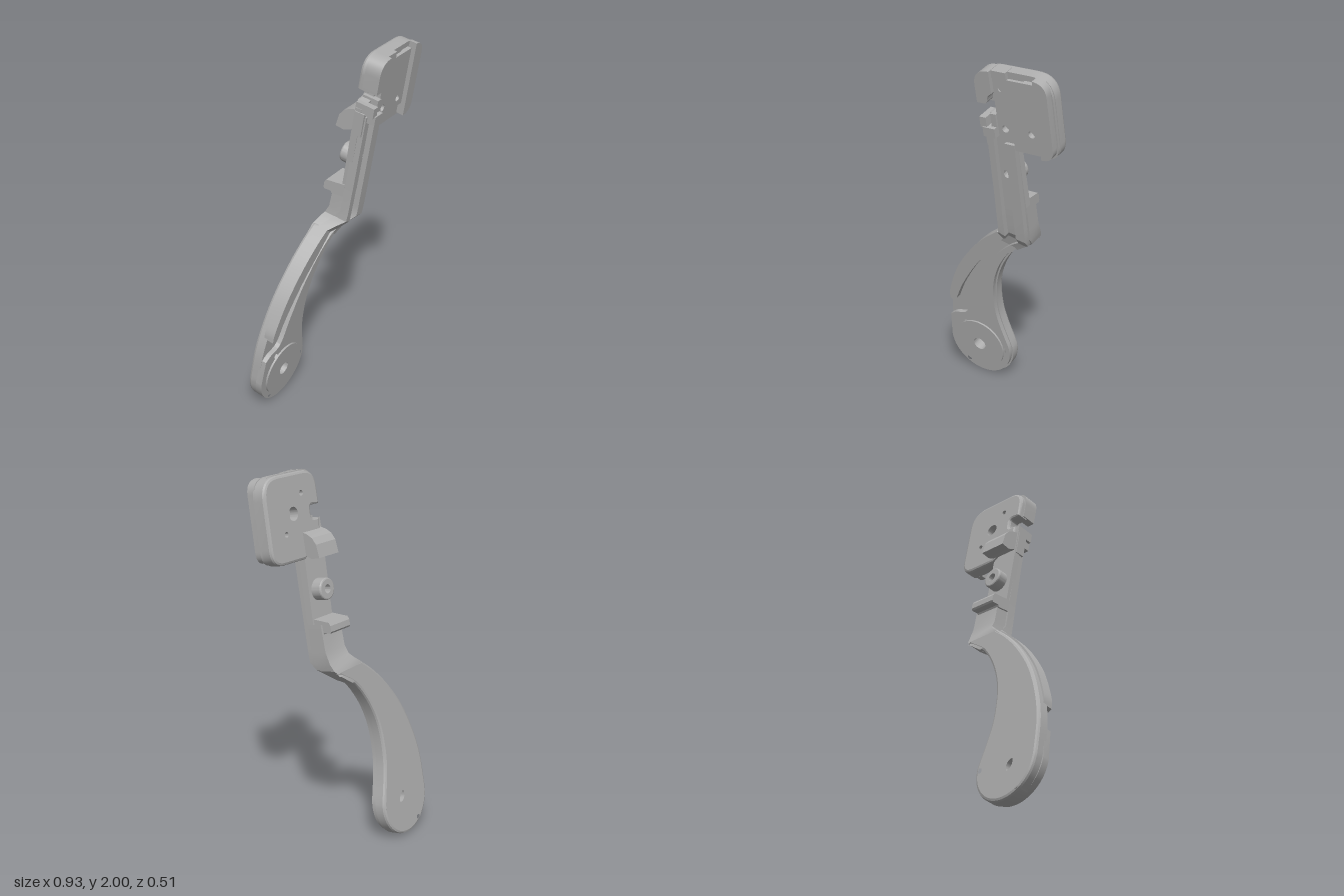
import * as THREE from 'three';
import { toCreasedNormals } from 'three/addons/utils/BufferGeometryUtils.js';

const steel = new THREE.MeshStandardMaterial({ color: 0xaeaeae });
steel.name = 'grey metal';

// The bracket is tilted: outlines are laid out upright, then projected on its plane
const toPlane = (x, y, d) => {
  const q = (y + 0.175 * d) / 0.984;
  return new THREE.Vector2((x - 0.03 * q - 0.18 * d) / 0.983, q);
};

const spline = (pts, n = 28) =>
  new THREE.SplineCurve(pts.map(p => new THREE.Vector2(...p))).getPoints(n).map(p => [p.x, p.y]);

const arc = (cx, cy, r, a0, a1, n = 40) =>
  Array.from({ length: n + 1 }, (_, i) => {
    const a = a0 + (a1 - a0) * i / n;
    return [cx + r * Math.cos(a), cy + r * Math.sin(a)];
  });
const circle = (cx, cy, r) => arc(cx, cy, r, 0, Math.PI * 2, 48).slice(0, -1);
const rect = (x0, y0, x1, y1) => [[x0, y0], [x1, y0], [x1, y1], [x0, y1]];

// Polygon whose corners [x, y, r] are rounded by r
function rounded(pts) {
  const out = [];
  pts.forEach(([x, y, r = 0], i) => {
    if (!r) return out.push([x, y]);
    const c = new THREE.Vector2(x, y);
    const toward = p => new THREE.Vector2(p[0], p[1]).sub(c).setLength(r).add(c);
    const a = toward(pts[(i + pts.length - 1) % pts.length]), b = toward(pts[(i + 1) % pts.length]);
    new THREE.QuadraticBezierCurve(a, c, b).getPoints(10).forEach(p => out.push([p.x, p.y]));
  });
  return out;
}

// Rounds the back edge of an extrusion (3 steps) by pulling its outline inwards
function roundBack(geo, outline, depth, r) {
  const levels = [0, 0.3 * r, r, depth], insets = [r, 0.3 * r, 0, 0];
  const turn = Math.sign(THREE.ShapeUtils.area(outline)), n = outline.length;
  const pos = geo.attributes.position;
  for (let i = 0; i < pos.count; i++) {
    const v = new THREE.Vector2(pos.getX(i), pos.getY(i));
    const step = Math.round(pos.getZ(i) / depth * 3);
    const k = outline.findIndex(p => p.distanceTo(v) < 1e-5);
    if (k >= 0) {
      const along = outline[(k + 1) % n].clone().sub(outline[(k + n - 1) % n]).normalize();
      v.add(new THREE.Vector2(-along.y, along.x).multiplyScalar(turn * insets[step]));
    }
    pos.setXYZ(i, v.x, v.y, levels[step]);
  }
}

function createModel() {
  const model = new THREE.Group();
  model.name = 'leverBracket';
  const body = new THREE.Group();
  body.name = 'tiltedBody';
  model.add(body);

  const add = (name, geo) => {
    const mesh = new THREE.Mesh(toCreasedNormals(geo, 0.36), steel);
    mesh.name = name;
    body.add(mesh);
  };

  // Slab between depths d0 and d1, with round holes [x, y, r] and a rounded back edge
  function slab(name, pts, d0, d1, { holes = [], round = 0 } = {}) {
    const mid = (d0 + d1) / 2, depth = d1 - d0;
    const outline = pts.map(([x, y]) => toPlane(x, y, mid));
    const shape = new THREE.Shape(outline);
    for (const [x, y, r] of holes) {
      const c = toPlane(x, y, mid);
      shape.holes.push(new THREE.Path().absarc(c.x, c.y, r, 0, Math.PI * 2, true));
    }
    const geo = new THREE.ExtrudeGeometry(shape, { depth, steps: round ? 3 : 1, curveSegments: 20, bevelEnabled: false });
    if (round) roundBack(geo, outline, depth, round);
    add(name, geo.translate(0, 0, d0));
  }

  // Side profile of [depth, height] points, swept across the arm's width
  function sideProfile(name, pts) {
    const shape = new THREE.Shape(pts.map(([d, y]) => new THREE.Vector2(d, (y + 0.175 * d) / 0.984)));
    const geo = new THREE.ExtrudeGeometry(shape, { depth: 0.156, bevelEnabled: false });
    add(name, geo.rotateY(-Math.PI / 2).translate(0.198, 0, 0));
  }

  // Four-sided tube through sections [left x, y, right x, y, front, back], top to bottom
  function loft(name, sections) {
    const rings = sections.map(([xl, yl, xr, yr, front, back]) => {
      const l = toPlane(xl, yl, (front + back) / 2), r = toPlane(xr, yr, (front + back) / 2);
      return [[l.x, l.y, back], [r.x, r.y, back], [r.x, r.y, front], [l.x, l.y, front]];
    });
    const verts = [];
    for (let i = 0; i + 1 < rings.length; i++) {
      for (let k = 0; k < 4; k++) {
        const j = (k + 1) % 4;
        const [a, b, c, d] = [rings[i][k], rings[i][j], rings[i + 1][j], rings[i + 1][k]];
        verts.push(...a, ...b, ...c, ...a, ...c, ...d);
      }
    }
    const geo = new THREE.BufferGeometry();
    geo.setAttribute('position', new THREE.Float32BufferAttribute(verts, 3));
    add(name, geo);
  }

  // Curved lower arm with round pivot end
  const pivot = [-0.265, 0.195];
  const outer = spline([[-0.457, 0.2], [-0.445, 0.386], [-0.402, 0.545], [-0.328, 0.704], [-0.224, 0.845],
    [-0.12, 0.948], [-0.03, 1.015]]);
  const inner = spline([[0.16, 0.99], [0.13, 0.968], [0.035, 0.907], [-0.042, 0.81],
    [-0.095, 0.704], [-0.122, 0.598], [-0.128, 0.466], [-0.112, 0.36], [-0.085, 0.255]]);
  const end = arc(pivot[0], pivot[1], 0.19, 0.2, -Math.PI);
  const channelSide = spline([[-0.44, 0.345], [-0.4, 0.37], [-0.32, 0.4], [-0.257, 0.545], [-0.177, 0.704],
    [-0.071, 0.847], [0.035, 0.942], [0.11, 0.985]]);
  const screwHoles = [[-0.35, 0.335, 0.014], [-0.1, 0.195, 0.014], [-0.36, 0.055, 0.014]];

  slab('lowerArmBase', [...outer, ...inner, ...end.slice(1, -1)], -0.29, -0.228,
    { holes: [[...pivot, 0.052], ...screwHoles], round: 0.014 });
  slab('lowerArmFace', [...channelSide, ...inner, ...end], -0.24, -0.202,
    { holes: [[...pivot, 0.1], ...screwHoles] });
  slab('pivotDisc', circle(...pivot, 0.152), -0.25, -0.192, { holes: [[...pivot, 0.038]] });

  // Raised guide rail along the outer curve
  const railInner = spline([[-0.375, 0.475], [-0.31, 0.6], [-0.2, 0.757], [-0.07, 0.9], [0.005, 0.985]]);
  const railOuter = spline([[-0.415, 0.475], [-0.402, 0.545], [-0.328, 0.704], [-0.224, 0.845],
    [-0.12, 0.948], [-0.03, 1.015]]);
  slab('guideRail', [[-0.395, 0.46], ...railOuter, ...railInner.reverse()], -0.25, -0.192);

  // Crank between the lower and upper arm: floor and two walls
  loft('crankFloor', [
    [0.053, 1.24, 0.208, 1.24, -0.153, -0.24], [0.047, 1.1, 0.203, 1.1, -0.155, -0.246],
    [0.04, 1.06, 0.198, 1.04, -0.158, -0.262], [0.015, 1.037, 0.184, 1.005, -0.185, -0.277],
    [-0.03, 1.008, 0.143, 0.972, -0.215, -0.289], [-0.09, 0.955, 0.06, 0.92, -0.226, -0.289]]);
  loft('crankLeftWall', [
    [0.052, 1.24, 0.086, 1.24, -0.122, -0.17], [0.047, 1.1, 0.082, 1.1, -0.122, -0.17],
    [0.04, 1.06, 0.077, 1.045, -0.124, -0.2], [0.015, 1.037, 0.053, 1.012, -0.155, -0.22],
    [-0.03, 1.01, 0.005, 0.982, -0.192, -0.25]]);
  loft('crankRightWall', [
    [0.15, 1.24, 0.207, 1.24, -0.122, -0.17], [0.147, 1.1, 0.203, 1.1, -0.122, -0.17],
    [0.143, 1.045, 0.198, 1.035, -0.124, -0.2], [0.125, 1.01, 0.184, 1.0, -0.155, -0.22],
    [0.095, 0.98, 0.143, 0.97, -0.19, -0.25], [0.035, 0.942, 0.075, 0.925, -0.203, -0.25]]);

  // Straight upper arm with a front channel
  slab('upperArmPlate', rect(0.053, 1.2, 0.211, 1.72), -0.19, -0.152, { holes: [[0.127, 1.41, 0.023]] });
  slab('leftArmWall', [[0.052, 1.2], [0.086, 1.2], [0.1, 1.68], [0.065, 1.68]], -0.17, -0.122);
  slab('rightArmWall', [[0.15, 1.2], [0.206, 1.2], [0.215, 1.6], [0.16, 1.6]], -0.17, -0.122);
  slab('armEdgeTab', rect(0.05, 1.57, 0.075, 1.7), -0.185, -0.13);

  // Catches and hollow boss on the back
  sideProfile('lowerCatch', [[-0.17, 1.195], [-0.24, 1.195], [-0.248, 1.208], [-0.286, 1.21], [-0.293, 1.22],
    [-0.293, 1.25], [-0.284, 1.265], [-0.17, 1.265]]);
  sideProfile('wedgeCatch', [[-0.17, 1.71], [-0.225, 1.7], [-0.255, 1.685], [-0.276, 1.655], [-0.285, 1.59],
    [-0.235, 1.578], [-0.17, 1.6]]);
  slab('backBoss', circle(0.127, 1.41, 0.056), -0.25, -0.18, { holes: [[0.127, 1.41, 0.023]], round: 0.008 });

  // Head: back shell with a notch on one side
  slab('headShell', rounded([[0.21, 1.567], [0.46, 1.567, 0.09], [0.46, 1.996, 0.11], [0.062, 1.996, 0.1],
    [0.062, 1.82], [0.13, 1.82, 0.015], [0.13, 1.76, 0.015], [0.075, 1.75], [0.075, 1.67]]), -0.202, -0.14,
    { holes: [[0.265, 1.8, 0.035], [0.19, 1.89, 0.014], [0.335, 1.71, 0.014]], round: 0.014 });

  // Head rims standing around the cover plate
  slab('rightRim', rounded([[0.385, 1.57], [0.46, 1.57, 0.07], [0.46, 1.994, 0.11], [0.3, 1.994],
    [0.3, 1.965], [0.385, 1.965]]), -0.17, -0.125);
  slab('rightRimFront', rounded([[0.39, 1.572], [0.46, 1.572, 0.066], [0.46, 1.978, 0.068], [0.39, 1.985]]), -0.13, -0.085);
  slab('leftHook', rounded([[0.064, 1.82], [0.12, 1.82, 0.02], [0.125, 1.86, 0.02], [0.152, 1.88], [0.152, 1.994],
    [0.064, 1.994, 0.085]]), -0.17, -0.085);
  slab('topRim', rect(0.15, 1.955, 0.23, 1.994), -0.17, -0.105);
  slab('topLip', rect(0.22, 1.955, 0.31, 1.994), -0.17, -0.125);
  slab('bottomRim', rect(0.215, 1.572, 0.39, 1.65), -0.17, -0.125);

  // Cover plate with four corner holes
  slab('coverPlate', rect(0.15, 1.64, 0.385, 1.955), -0.15, -0.108,
    { holes: [[0.195, 1.905, 0.019], [0.342, 1.905, 0.019], [0.19, 1.69, 0.019], [0.335, 1.69, 0.019]] });

  // Cable clip beside the notch
  slab('clipBlock', rect(0.078, 1.645, 0.145, 1.695), -0.19, -0.078);
  slab('clipLeftProng', rect(0.062, 1.69, 0.098, 1.745), -0.19, -0.085);
  slab('clipRightProng', rect(0.115, 1.69, 0.145, 1.765), -0.19, -0.1);

  // Lean the whole bracket into place
  const up = new THREE.Vector3(0.03, 0.984, 0.175).normalize();
  const side = up.clone().cross(new THREE.Vector3(0.18, -0.175, 0.968)).normalize();
  const front = side.clone().cross(up);
  body.quaternion.setFromRotationMatrix(new THREE.Matrix4().makeBasis(side, up, front));
  return model;
}

export { createModel };
